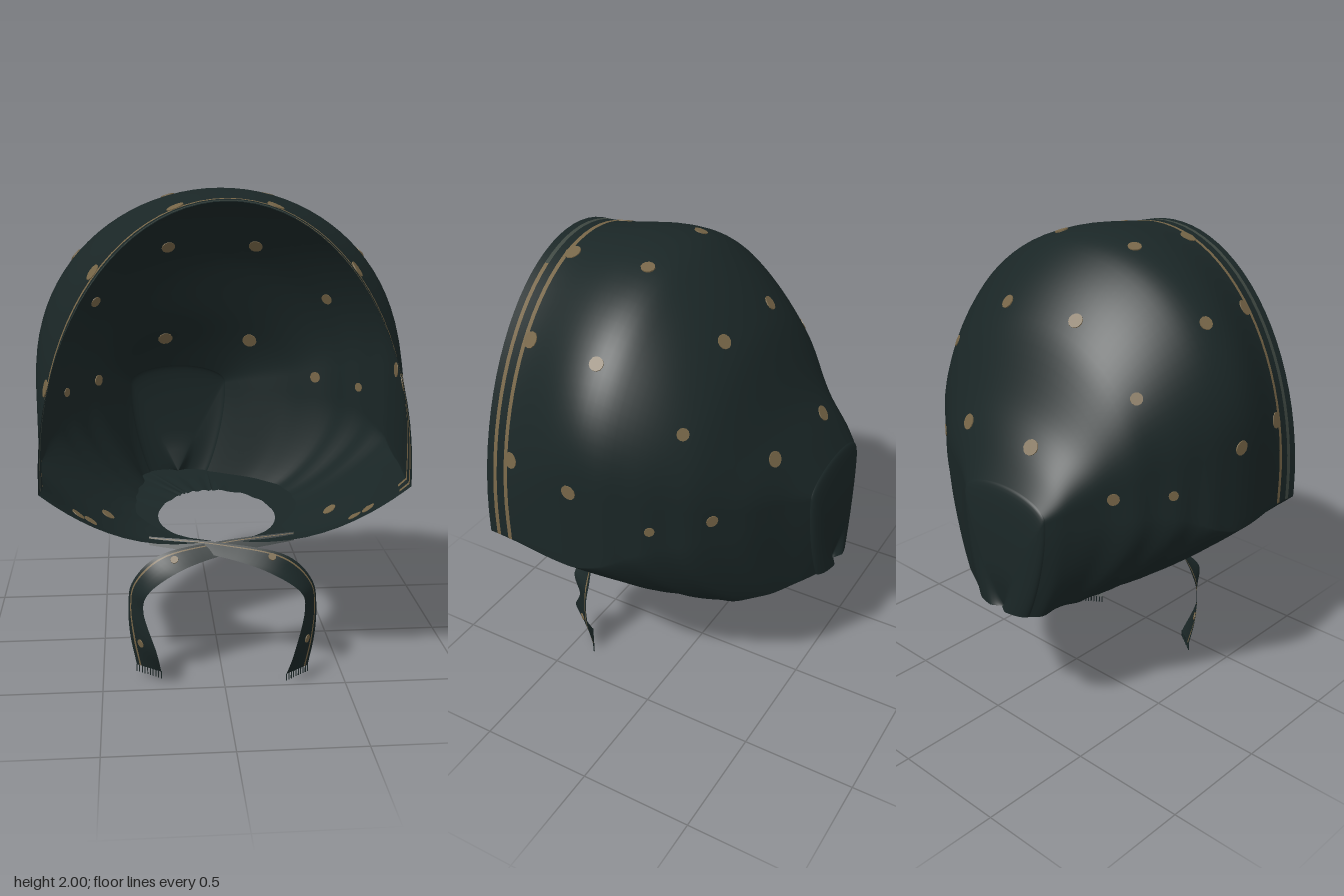
import * as THREE from 'three';

const mat = (name, color) => {
  const m = new THREE.MeshStandardMaterial({ color, side: THREE.DoubleSide });
  m.name = name;
  return m;
};

// Smooth interpolation of a table along descending stations
const Z = [0.6, 0.5, 0.2, 0, -0.25, -0.4, -0.5, -0.57];
const TOP = [1.97, 1.975, 2.0, 1.945, 1.70, 1.40, 1.235, 1.11];
const RIGHT = [0.72, 0.712, 0.742, 0.70, 0.57, 0.46, 0.41, 0.35];
const LEFT = [0.715, 0.72, 0.745, 0.72, 0.56, 0.37, 0.18, 0.06];
const NECK = [0.04, 0.2, 0.34, 0.36, 0.33, 0.26, 0.2, 0.12];
function sample(table, z) {
  let i = 0;
  while (i < Z.length - 2 && z < Z[i + 1]) i++;
  const slope = (k) => {
    const a = Math.max(k - 1, 0), b = Math.min(k + 1, Z.length - 1);
    return (table[b] - table[a]) / (Z[b] - Z[a]);
  };
  const d = Z[i + 1] - Z[i], t = (z - Z[i]) / d;
  const t2 = t * t, t3 = t2 * t;
  return (2 * t3 - 3 * t2 + 1) * table[i] + (t3 - 2 * t2 + t) * d * slope(i)
    + (3 * t2 - 2 * t3) * table[i + 1] + (t3 - t2) * d * slope(i + 1);
}

// One half of the cloth contour at depth z, from the neck edge up to the crown
function halfContour(z, side) {
  const { lerp, smoothstep } = THREE.MathUtils;
  const l = sample(LEFT, z), r = sample(RIGHT, z), top = sample(TOP, z);
  const c = (l - r) / 2, h = (l + r) / 2;
  const n = Math.min(sample(NECK, z), h * 0.8);
  // The flanks start to draw in higher up toward the back
  const back = smoothstep(-z, -0.2, 0.2);
  const yb = 0.592 - 0.025 * z, yl = lerp(0.88, 1.02, back);
  // The face opening is more pointed than the rest of the hood
  const ym = yl + lerp(lerp(0.38, 0.27, back), 0.02, smoothstep(z, 0.1, 0.65)) * (top - yl);
  const power = lerp(1.3, 2.2, smoothstep(z, 0.2, 0.6));
  const pts = [];
  const add = (x, y, s) => {
    // The lower front edge runs back toward the knot
    const zz = -0.6 + (z + 0.6) * (1.2 - 0.27 * (1 - s)) / 1.2;
    // Soft gathers in the lower back cloth
    const w = smoothstep(0.2 - z, 0, 0.3) * (1 - smoothstep(y, 0.9, 1.5));
    pts.push(new THREE.Vector3(c + side * x * (1 + 0.01 * w * Math.sin(z * 42)), y, zz));
  };
  for (let i = 0; i < 14; i++) {
    const s = Math.sin(i / 14 * Math.PI / 2);
    const rise = lerp(s ** power, 0.5 * s + 0.5 * (1 - Math.sqrt(1 - s * s)), back);
    add(n + (h - n) * s, yb + (yl - yb) * rise, s);
  }
  for (let i = 0; i < 8; i++) add(h, yl + (ym - yl) * i / 8, 1);
  for (let i = 0; i <= 22; i++) {
    const a = i / 22 * Math.PI / 2;
    add(h * Math.cos(a), ym + (top - ym) * Math.sin(a), 1);
  }
  return pts;
}

function contour(z) {
  return [...halfContour(z, 1), ...halfContour(z, -1).reverse().slice(1)];
}

// Skin rows of points; materialOf picks the material of the quad in row i, column j
function skin(rows, materialOf) {
  const n = rows[0].length, idx = [];
  const g = new THREE.BufferGeometry();
  g.setAttribute('position', new THREE.Float32BufferAttribute(rows.flat().flatMap((p) => p.toArray()), 3));
  for (let i = 0; i < rows.length - 1; i++) {
    for (let j = 0; j < n - 1; j++) {
      const a = i * n + j, b = a + n, m = materialOf(i, j);
      const run = g.groups[g.groups.length - 1];
      if (run && run.materialIndex === m) run.count += 6;
      else g.addGroup(idx.length, 6, m);
      idx.push(a, a + 1, b, b, a + 1, b + 1);
    }
  }
  g.setIndex(idx);
  g.computeVertexNormals();
  return g;
}

export function createModel() {
  const cloth = mat('dark teal cloth', 0x1a2626);
  const gold = mat('dull gold', 0x766547);
  const faded = mat('faded grey thread', 0x3d4640);
  const model = new THREE.Group();
  const put = (name, geometry, material, parent = model) => {
    const m = new THREE.Mesh(geometry, material);
    m.name = name;
    parent.add(m);
    return m;
  };

  // Hood with two woven stripes near the face edge
  const rows = [0.6, 0.566, 0.547, 0.508, 0.488].map(contour);
  for (let i = 1; i <= 50; i++) rows.push(contour(0.488 - 1.043 * Math.sin(i / 50 * Math.PI / 2)));
  // Nape closes down onto the back of the neck edge
  const last = rows[rows.length - 1];
  for (let i = 1; i <= 16; i++) {
    const f = Math.cos(i / 16 * Math.PI / 2);
    rows.push(last.map((p) => new THREE.Vector3(
      -0.14 + (p.x + 0.14) * f, 0.606 + (p.y - 0.606) * f,
      p.z - 0.046 * Math.sqrt(1 - f * f) * Math.min(1, 0.4 + 2 * f))));
  }
  const stripes = (i, j) => {
    if ((i !== 1 && i !== 3) || j < 11 || j > 73) return 0;
    return i === 1 && j > 38 ? 2 : 1;
  };
  const hood = put('hood', skin(rows, stripes), [cloth, gold, faded]);

  // Gathered underside turns in from the lower edge to a smaller neck opening
  const end = rows[0].length - 1;
  const edge = [...rows.map((r) => r[0]), ...rows.map((r) => r[end]).reverse()];
  const opening = edge.map((p, i) => {
    const dz = p.z - 0.04, k = Math.min(1, 1 / Math.hypot(p.x / 0.255, dz / 0.3));
    return new THREE.Vector3(p.x * k, p.y + 0.006 * (1 - k) * Math.sin(i * 0.6), 0.04 + dz * k);
  });
  const floorRows = [0, 0.25, 0.5, 0.75, 1].map((t) => edge.map((p, i) => p.clone().lerp(opening[i], t)));
  put('neckUnderside', skin(floorRows, () => 0), [cloth]);

  // Spots lie flat on the closest piece of cloth
  const spots = new THREE.Group();
  spots.name = 'spots';
  model.add(spots);
  const spotShape = new THREE.CylinderGeometry(1, 1, 0.007, 12);
  const up = new THREE.Vector3(0, 1, 0);
  function spot(mesh, x, y, z, r) {
    const pos = mesh.geometry.attributes.position, nor = mesh.geometry.attributes.normal;
    const target = new THREE.Vector3(x, y, z), p = new THREE.Vector3();
    let best = 0, bestD = Infinity;
    for (let i = 0; i < pos.count; i++) {
      const d = p.fromBufferAttribute(pos, i).distanceToSquared(target);
      if (d < bestD) { bestD = d; best = i; }
    }
    p.fromBufferAttribute(pos, best);
    const n = new THREE.Vector3().fromBufferAttribute(nor, best).normalize();
    const s = put('spot', spotShape, gold, spots);
    s.position.copy(target).addScaledVector(n, -target.clone().sub(p).dot(n));
    s.quaternion.setFromUnitVectors(up, n);
    s.scale.set(r, 1, r);
  }
  const places = [
    [0.2, 1.76, -0.24, 0.03], [0.2, 1.29, -0.47, 0.033], [0.2, 1.96, 0.12, 0.028],
    [0.57, 1.73, 0.115, 0.028], [0.515, 1.5, -0.215, 0.025], [0.745, 1.25, 0.16, 0.031],
    [0.47, 1.12, -0.3, 0.025], [0.64, 1.11, -0.13, 0.02], [0.46, 0.67, 0.2, 0.03],
    [0.19, 1.95, 0.474, 0.034], [0.52, 1.72, 0.474, 0.034], [0.72, 1.27, 0.474, 0.034],
    [0.58, 0.745, 0.44, 0.03], [0.53, 0.71, 0.41, 0.03],
  ];
  for (const [x, y, z, r] of places) for (const s of [1, -1]) spot(hood, s * x, y, z, r);

  // Twisted ties cross under the chin, each with a thin stripe and a fringe
  const outer = [[0.3, 0.6, 0.31], [0, 0.582, 0.345], [-0.27, 0.535, 0.385], [-0.375, 0.42, 0.38],
    [-0.39, 0.33, 0.39], [-0.385, 0.2, 0.39], [-0.36, 0.06, 0.385]];
  const inner = [[0.3, 0.57, 0.33], [0, 0.535, 0.39], [-0.19, 0.49, 0.455], [-0.31, 0.42, 0.5],
    [-0.33, 0.33, 0.465], [-0.28, 0.18, 0.53], [-0.26, 0.06, 0.46]];
  const bands = [0, 0.12, 0.19, 0.4, 0.6, 0.8, 1];
  for (const side of [1, -1]) {
    const name = side > 0 ? 'rightTie' : 'leftTie';
    const curve = (pts) => new THREE.CatmullRomCurve3(pts.map(([x, y, z], i) => new THREE.Vector3(
      side * x, y - (side < 0 ? 0.005 * i : 0), z + (side < 0 && i < 3 ? 0.012 : 0))));
    const a = curve(outer).getPoints(48), b = curve(inner).getPoints(48);
    const ribbonRows = bands.map((v) => a.map((p, i) => p.clone().lerp(b[i], v)));
    const tie = put(name, skin(ribbonRows, (i) => (i === 1 ? 1 : 0)), [cloth, gold]);
    spot(tie, -side * 0.35, 0.18, 0.45, 0.018);
    spot(tie, -side * 0.2, 0.53, 0.41, 0.016);
    const fringe = new THREE.Group();
    fringe.name = name + 'Fringe';
    model.add(fringe);
    const thread = new THREE.BoxGeometry(0.004, 0.03, 0.004);
    for (let i = 0; i <= 9; i++) {
      const t = put('thread', thread, cloth, fringe);
      t.position.copy(a[48]).lerp(b[48], i / 9);
      t.position.y -= 0.014;
    }
  }
  // Rest the fringe on the ground
  const box = new THREE.Box3().setFromObject(model);
  model.position.y = -box.min.y;
  return model;
}
